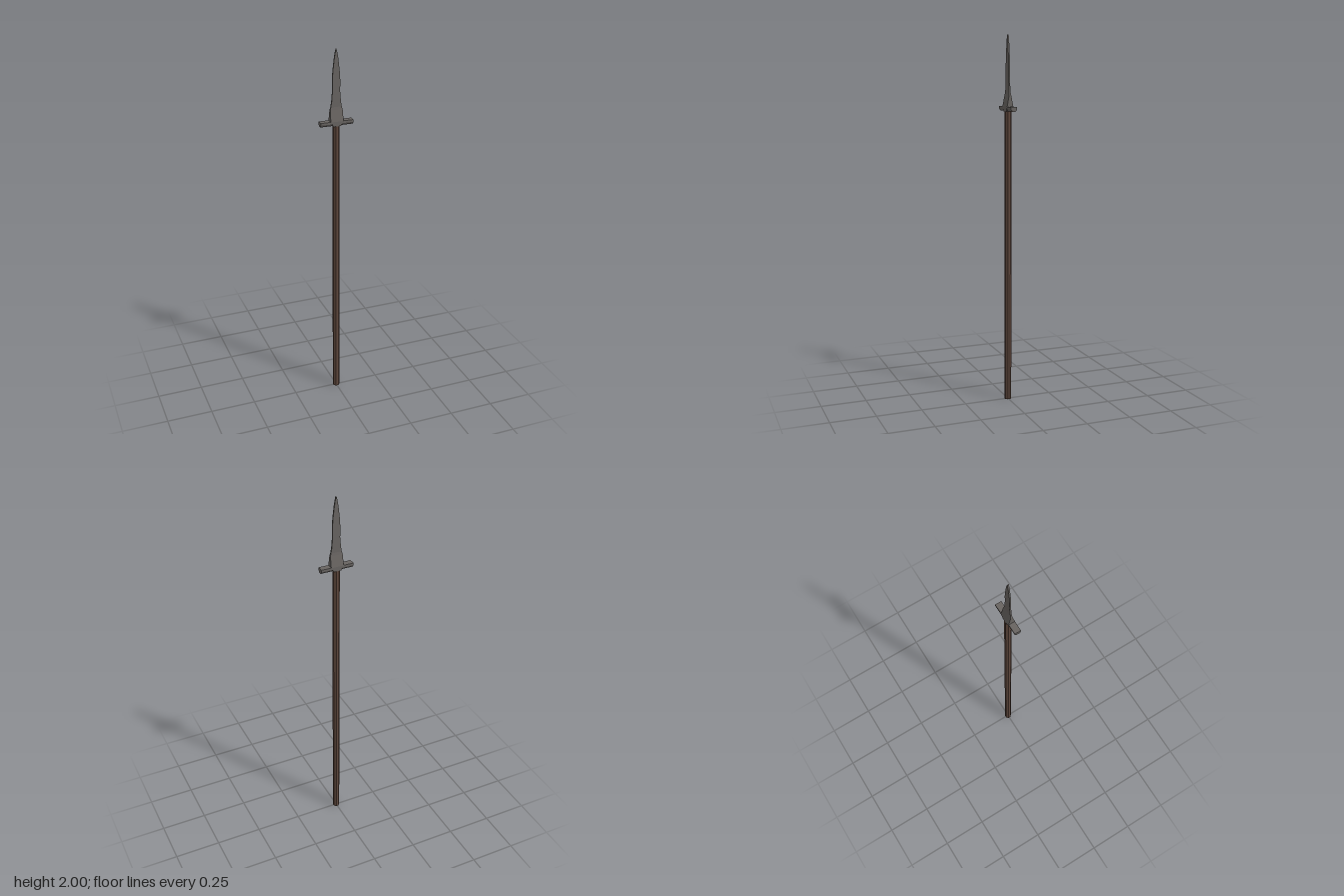
import * as THREE from 'three';

// Joins rectangular sections [y, half width, half depth] from bottom to top
function loftRectangles(sections) {
  const positions = [];
  const indices = [];
  for (const [y, w, d] of sections) {
    positions.push(-w, y, d, w, y, d, w, y, -d, -w, y, -d);
  }
  for (let s = 0; s < sections.length - 1; s++) {
    for (let i = 0; i < 4; i++) {
      const a = s * 4 + i, b = s * 4 + (i + 1) % 4;
      indices.push(a, b, b + 4, a, b + 4, a + 4);
    }
  }
  const t = (sections.length - 1) * 4;
  indices.push(0, 2, 1, 0, 3, 2, t, t + 1, t + 2, t, t + 2, t + 3);
  const geometry = new THREE.BufferGeometry();
  geometry.setAttribute('position', new THREE.Float32BufferAttribute(positions, 3));
  geometry.setIndex(indices);
  const flat = geometry.toNonIndexed();
  flat.computeVertexNormals();
  return flat;
}

export function createModel() {
  const model = new THREE.Group();
  model.name = 'spear';

  const wood = new THREE.MeshStandardMaterial({ color: 0x5f483d, flatShading: true });
  wood.name = 'dark wood';
  const metal = new THREE.MeshStandardMaterial({ color: 0x686461, flatShading: true });
  metal.name = 'grey metal';

  const add = (name, geometry, material) => {
    const mesh = new THREE.Mesh(geometry, material);
    mesh.name = name;
    model.add(mesh);
    return mesh;
  };

  // Eight-sided pole with flat faces to the front and sides
  const poleRadius = 0.0175 / Math.cos(Math.PI / 8);
  const pole = new THREE.CylinderGeometry(poleRadius, poleRadius, 1.61, 8);
  pole.rotateY(Math.PI / 8);
  add('shaft', pole, wood).position.y = 0.805;

  // Crossbar with chamfered lower edges
  const profile = new THREE.Shape([
    new THREE.Vector2(-0.0175, 1.626),
    new THREE.Vector2(-0.0175, 1.614),
    new THREE.Vector2(-0.009, 1.602),
    new THREE.Vector2(0.009, 1.602),
    new THREE.Vector2(0.0175, 1.614),
    new THREE.Vector2(0.0175, 1.626),
  ]);
  const bar = new THREE.ExtrudeGeometry(profile, { depth: 0.18, bevelEnabled: false });
  bar.translate(0, 0, -0.09);
  bar.rotateY(Math.PI / 2);
  add('crossbar', bar, metal);

  // Socket, thinning upwards into the blade
  add('socket', loftRectangles([
    [1.6, 0.02, 0.0178],
    [1.625, 0.035, 0.0178],
    [1.685, 0.034, 0.006],
    [1.7, 0.03, 0.004],
  ]), metal);

  // Thin leaf-shaped blade
  add('blade', loftRectangles([
    [1.7, 0.03, 0.004],
    [1.73, 0.025, 0.004],
    [1.78, 0.021, 0.004],
    [1.84, 0.0215, 0.004],
    [1.89, 0.018, 0.004],
    [1.95, 0.011, 0.004],
    [1.98, 0.006, 0.004],
    [2.0, 0.001, 0.004],
  ]), metal);

  return model;
}
